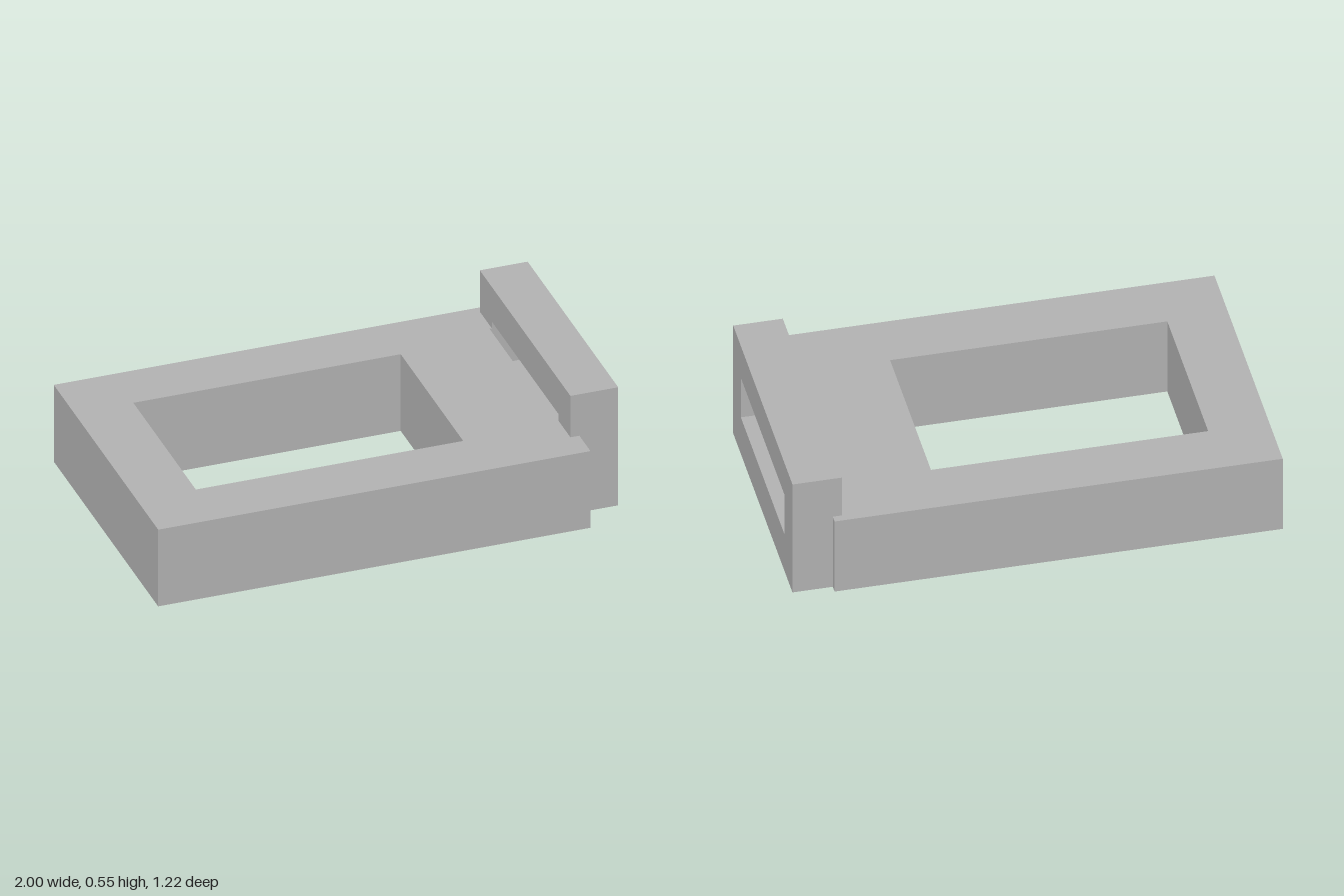
import * as THREE from 'three';

// Closed shape or hole from corner points
const outline = (points, Type = THREE.Shape) =>
  new Type(points.map(([a, b]) => new THREE.Vector2(a, b)));

const rect = (a0, b0, a1, b1) => [[a0, b0], [a1, b0], [a1, b1], [a0, b1]];

function extrude(points, hole, depth) {
  const shape = outline(points);
  shape.holes.push(outline(hole, THREE.Path));
  return new THREE.ExtrudeGeometry(shape, { depth, bevelEnabled: false });
}

export function createModel() {
  const model = new THREE.Group();
  const grey = new THREE.MeshStandardMaterial({ color: 0xb2b2b2 });
  grey.name = 'grey';

  const add = (name, geometry) => {
    const mesh = new THREE.Mesh(geometry, grey);
    mesh.name = name;
    model.add(mesh);
  };

  // Slot shared by the handle and the notch in the frame (z and y limits)
  const slot = { back: -0.44, front: 0.345, low: 0.185, high: 0.385 };
  const frameTop = 0.354, frameEnd = 0.835, notchX = 0.787;

  // Frame: plans are drawn in x and -z, then laid flat
  const opening = rect(-0.75, -0.363, 0.385, 0.37);
  const layFlat = (geometry, y) => geometry.rotateX(-Math.PI / 2).translate(0, y, 0);

  add('frameLower', layFlat(
    extrude(rect(-1, -0.612, frameEnd, 0.612), opening, slot.low), 0));

  // Upper layer, cut back where the slot runs into the frame
  const notched = [
    [-1, -0.612], [frameEnd, -0.612],
    [frameEnd, -slot.front], [notchX, -slot.front],
    [notchX, -slot.back], [frameEnd, -slot.back],
    [frameEnd, 0.612], [-1, 0.612],
  ];
  add('frameUpper', layFlat(extrude(notched, opening, frameTop - slot.low), slot.low));

  // Upright handle with its grip slot, drawn in -z and y
  const handle = extrude(
    rect(-0.482, 0, 0.58, 0.545),
    rect(-slot.front, slot.low, -slot.back, slot.high), 0.203);
  add('handle', handle.rotateY(Math.PI / 2).translate(0.797, 0, 0));

  return model;
}
